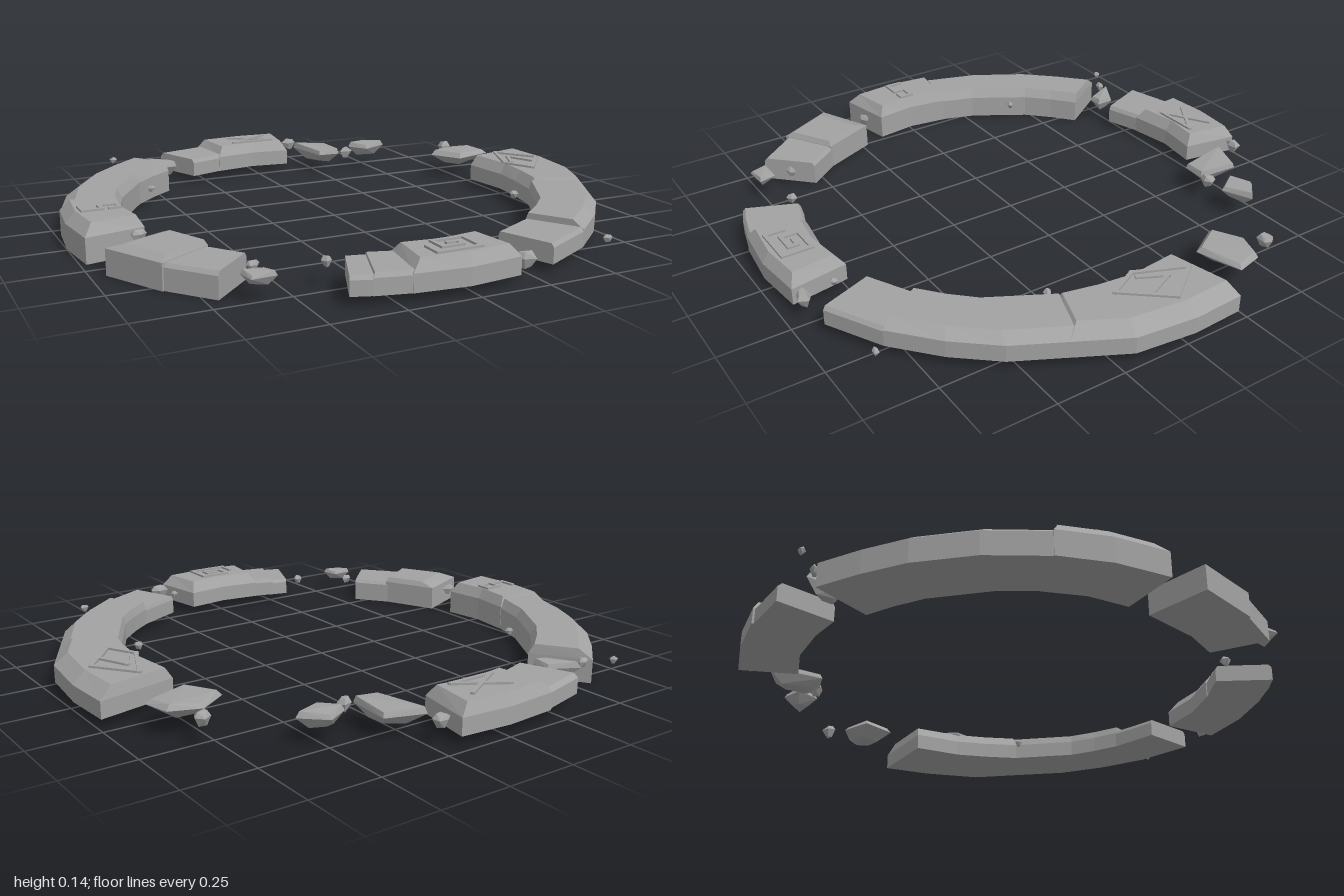
import * as THREE from 'three';
import { ConvexGeometry } from 'three/addons/geometries/ConvexGeometry.js';

const stone = new THREE.MeshStandardMaterial({ color: 0xa2a2a2, flatShading: true, side: THREE.DoubleSide });
stone.name = 'grey stone';

const lerp = (a, b, t) => a + (b - a) * t;

// Arc slab swept clockwise (seen from above) through stations [outerX, outerZ, innerX, innerZ].
// y = [bottom, shoulder, top]; bevels = [outer, inner, start, end] widths of the chamfers.
function slab(name, stations, y, bevels) {
  const [bo, bi, bs, be] = bevels;
  const n = stations.length;
  const inset = stations.map(([ox, oz, ix, iz]) => {
    const w = Math.hypot(ox - ix, oz - iz);
    const a = bo / w, b = bi / w;
    return [lerp(ox, ix, a), lerp(oz, iz, a), lerp(ix, ox, b), lerp(iz, oz, b)];
  });
  const pull = (i, j, d) => {
    const p = inset[i], q = inset[j];
    const len = Math.hypot(q[0] - p[0], q[1] - p[1]);
    return p.map((v, k) => lerp(v, q[k], d / len));
  };
  const first = pull(0, 1, bs), last = pull(n - 1, n - 2, be);
  inset[0] = first;
  inset[n - 1] = last;
  const rings = stations.map(([ox, oz, ix, iz], i) => {
    const t = inset[i];
    return [
      [ox, y[0], oz], [ox, y[1], oz], [t[0], y[2], t[1]],
      [t[2], y[2], t[3]], [ix, y[1], iz], [ix, y[0], iz],
    ];
  });
  const pos = [];
  const quad = (a, b, c, d) => pos.push(...a, ...b, ...c, ...a, ...c, ...d);
  for (let i = 0; i < n - 1; i++) {
    const a = rings[i], b = rings[i + 1];
    for (let j = 0; j < 6; j++) {
      const k = (j + 1) % 6;
      quad(a[j], a[k], b[k], b[j]);
    }
  }
  const s = rings[0], e = rings[n - 1];
  quad(e[0], e[1], e[4], e[5]);
  quad(e[1], e[2], e[3], e[4]);
  quad(s[5], s[4], s[1], s[0]);
  quad(s[4], s[3], s[2], s[1]);
  const geo = new THREE.BufferGeometry();
  geo.setAttribute('position', new THREE.Float32BufferAttribute(pos, 3));
  geo.computeVertexNormals();
  const mesh = new THREE.Mesh(geo, stone);
  mesh.name = name;
  return mesh;
}

// Thin raised strips following a path of [x, z] points on a block top
function ornament(name, path, top) {
  const g = new THREE.Group();
  g.name = name;
  for (let i = 0; i < path.length - 1; i++) {
    const [x0, z0] = path[i], [x1, z1] = path[i + 1];
    const bar = new THREE.Mesh(new THREE.BoxGeometry(Math.hypot(x1 - x0, z1 - z0) + 0.014, 0.009, 0.014), stone);
    bar.position.set((x0 + x1) / 2, top + 0.003, (z0 + z1) / 2);
    bar.rotation.y = -Math.atan2(z1 - z0, x1 - x0);
    bar.name = name + 'Strip';
    g.add(bar);
  }
  return g;
}

// Broken shard: a plan outline, narrower on top and tapering to a wedge underneath
function shard(name, outline, y0, y1, topScale = 0.85) {
  const cx = outline.reduce((s, p) => s + p[0], 0) / outline.length;
  const cz = outline.reduce((s, p) => s + p[1], 0) / outline.length;
  const pts = [];
  outline.forEach(([x, z], i) => {
    const ring = (s, h) => pts.push(new THREE.Vector3(lerp(cx, x, s), h, lerp(cz, z, s)));
    ring(topScale, y1 - (i % 2) * 0.006);
    ring(1, lerp(y0, y1, 0.65));
    ring(0.5, y0 + (i % 2) * 0.008);
  });
  const mesh = new THREE.Mesh(new ConvexGeometry(pts), stone);
  mesh.name = name;
  return mesh;
}

export function createModel() {
  const root = new THREE.Group();
  root.name = 'brokenStoneRing';

  // Back arc: low end and carved block
  root.add(slab('backLowStone', [[-0.39, -0.91, -0.31, -0.71], [-0.2, -0.96, -0.17, -0.755]],
    [0.03, 0.085, 0.1], [0.015, 0.01, 0, 0]));
  root.add(slab('backBlock', [[-0.21, -0.965, -0.18, -0.75], [-0.02, -0.98, -0.02, -0.775], [0.17, -0.965, 0.135, -0.755]],
    [0.03, 0.09, 0.13], [0.02, 0.025, 0.03, 0.03]));
  root.add(ornament('backCarving', [[0.08, -0.91], [-0.09, -0.81], [0.08, -0.81], [-0.08, -0.91]], 0.13));

  // Right-hand arc on +x: carved block, long curve and low end
  root.add(slab('leftBlock', [[0.99, -0.22, 0.705, -0.155], [1, -0.03, 0.725, 0.03], [0.975, 0.19, 0.71, 0.15], [0.88, 0.37, 0.68, 0.29]],
    [0.03, 0.09, 0.13], [0.05, 0.025, 0.01, 0.03]));
  root.add(slab('leftLongStone', [[0.89, 0.35, 0.685, 0.275], [0.79, 0.54, 0.565, 0.495], [0.67, 0.68, 0.49, 0.57], [0.52, 0.81, 0.41, 0.635]],
    [0.03, 0.09, 0.12], [0.04, 0.01, 0, 0]));
  root.add(slab('leftLowStone', [[0.52, 0.81, 0.41, 0.635], [0.32, 0.915, 0.245, 0.72]],
    [0.03, 0.085, 0.098], [0.01, 0.005, 0, 0]));
  root.add(ornament('leftCarving',
    [[0.8, 0.14], [0.925, -0.01], [0.82, -0.15], [0.745, 0.03], [0.8, 0.14], [0.87, 0.05], [0.82, -0.06], [0.775, 0.03]], 0.13));

  // Front arc: carved block, then two low steps
  root.add(slab('frontBlock', [[0.17, 0.955, 0.135, 0.745], [-0.02, 0.975, -0.02, 0.765], [-0.21, 0.955, -0.175, 0.745]],
    [0.03, 0.09, 0.13], [0.025, 0.03, 0.03, 0.03]));
  root.add(slab('frontLowStone', [[-0.2, 0.955, -0.17, 0.75], [-0.325, 0.925, -0.25, 0.725]],
    [0.03, 0.085, 0.1], [0.01, 0.01, 0, 0.005]));
  root.add(slab('frontEndStone', [[-0.32, 0.925, -0.245, 0.725], [-0.39, 0.9, -0.31, 0.71]],
    [0.03, 0.08, 0.092], [0.01, 0.01, 0, 0]));
  root.add(ornament('frontCarving', [[-0.11, 0.86], [-0.11, 0.925], [0.04, 0.925], [0.04, 0.82], [-0.07, 0.82],
    [-0.07, 0.885], [0, 0.885], [0, 0.855], [-0.035, 0.855]], 0.13));

  // Separate thick stones on -x
  root.add(slab('rightEndStone', [[-0.71, 0.685, -0.565, 0.54], [-0.835, 0.53, -0.655, 0.42]],
    [0, 0.075, 0.088], [0.01, 0.01, 0, 0]));
  root.add(slab('rightLowStone', [[-0.835, 0.54, -0.65, 0.43], [-0.95, 0.32, -0.74, 0.225]],
    [0, 0.09, 0.11], [0.03, 0.01, 0.01, 0.06]));

  // Thick arc on -x: carved block and long curve
  root.add(slab('rightBlock', [[-0.98, 0.185, -0.77, 0.14], [-1, -0.01, -0.79, -0.01], [-0.98, -0.195, -0.77, -0.16]],
    [0, 0.09, 0.13], [0.035, 0.02, 0.03, 0.02]));
  root.add(slab('rightLongStone', [[-0.98, -0.185, -0.775, -0.15], [-0.91, -0.4, -0.73, -0.285], [-0.8, -0.585, -0.61, -0.48],
    [-0.69, -0.705, -0.53, -0.56], [-0.57, -0.815, -0.445, -0.63]],
    [0, 0.085, 0.12], [0.05, 0.02, 0, 0.005]));
  root.add(ornament('rightCarving', [[-0.945, -0.04], [-0.945, 0.015], [-0.88, 0.015], [-0.88, -0.03], [-0.82, -0.03],
    [-0.82, 0.015], [-0.85, 0.015]], 0.13));

  // Larger fragments lying in the gaps
  const rubble = new THREE.Group();
  rubble.name = 'rubble';
  rubble.add(
    shard('backRightShard', [[-0.49, -0.835], [-0.385, -0.78], [-0.385, -0.71], [-0.44, -0.71]], 0.04, 0.1),
    shard('backLeftShard', [[0.21, -0.855], [0.345, -0.81], [0.335, -0.645], [0.245, -0.65]], 0.035, 0.1, 0.92),
    shard('farLeftShard', [[0.415, -0.71], [0.495, -0.755], [0.575, -0.68], [0.465, -0.63]], 0.05, 0.11),
    shard('leftShard', [[0.655, -0.39], [0.76, -0.46], [0.865, -0.42], [0.89, -0.32], [0.725, -0.27]], 0.055, 0.112),
    shard('rightFrontShard', [[-0.65, 0.705], [-0.57, 0.7], [-0.555, 0.765], [-0.64, 0.77]], 0.05, 0.095),
  );
  // Small chips: [x, z, radius, height]
  const chips = [
    [-0.61, -0.87, 0.016, 0.1], [-0.515, -0.815, 0.022, 0.095], [0.215, -0.925, 0.03, 0.09],
    [0.37, -0.648, 0.03, 0.09], [0.8, -0.52, 0.032, 0.1], [0.62, 0.27, 0.018, 0.08],
    [-0.59, -0.388, 0.016, 0.085], [-0.81, 0.2, 0.026, 0.09], [-0.58, 0.63, 0.022, 0.08],
    [-0.375, 0.715, 0.022, 0.09], [0.19, 0.815, 0.016, 0.085], [0.205, 0.93, 0.036, 0.08], [0.575, 0.865, 0.016, 0.075],
  ];
  chips.forEach(([x, z, r, h], i) => {
    const outline = [0, 1, 2, 3, 4].map((k) => {
      const a = k * 1.257 + i * 0.9;
      const q = r * (1 + 0.18 * Math.sin(i * 3 + k * 2.3));
      return [x + Math.cos(a) * q, z + Math.sin(a) * q * 0.8];
    });
    rubble.add(shard('chip', outline, h - r * 1.1, h + r * 0.4, 0.6));
  });
  root.add(rubble);
  return root;
}
